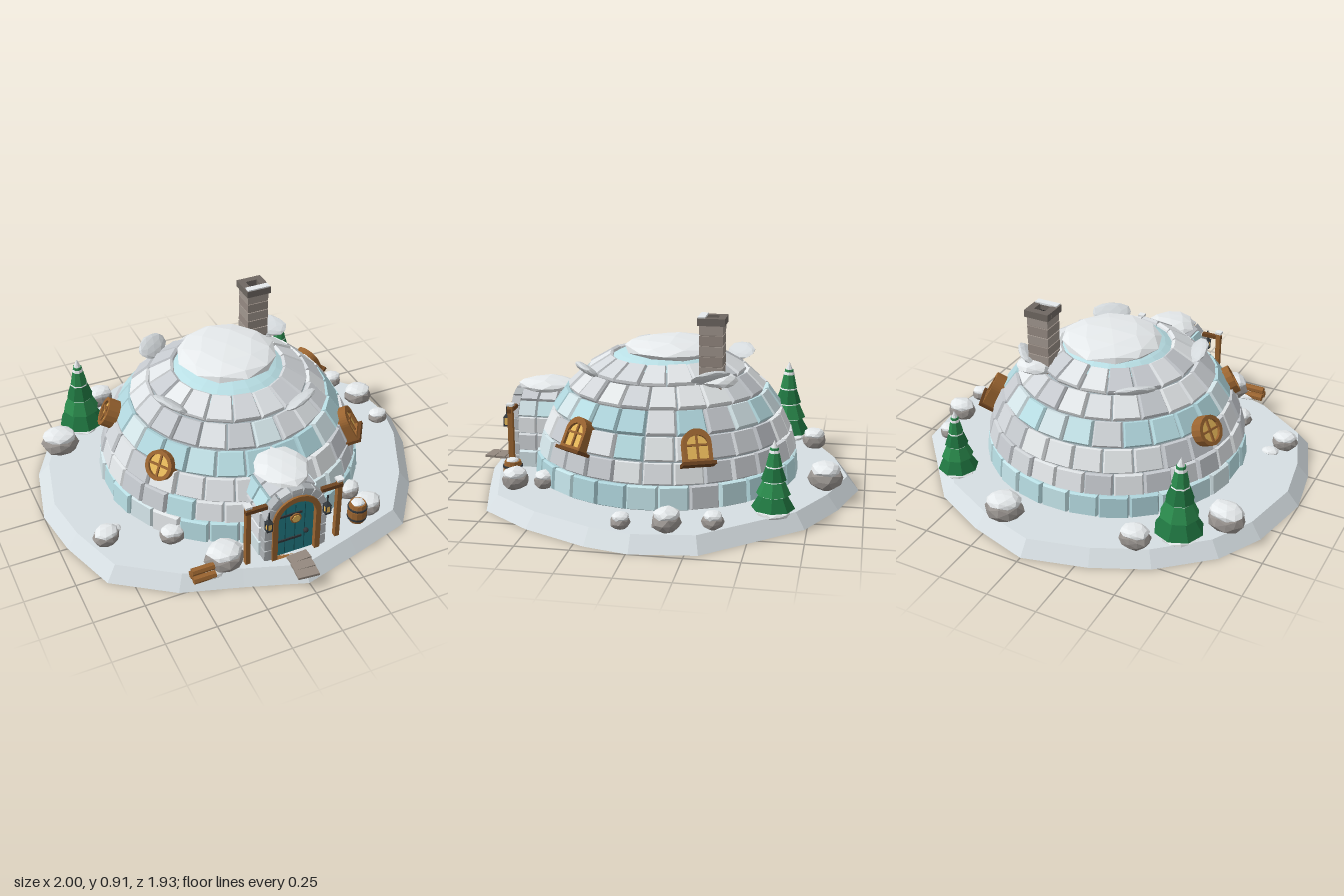
import * as THREE from 'three';

const WOOD = 0x9a6430, DARKWOOD = 0x6e4420, SNOW = 0xe6eaec, ICE = 0xb9dfe5, STEEL = 0x33383c;
const WHITES = [0xdfe3e6, 0xd2d6da, 0xc6cacf, 0xe4e8ea];
const ICES = [0xb9dfe5, 0xc4e4e9, 0xb0d6dd, 0xd3e4e8];
const GROUND = 0.07;

let seed = 7;
const rnd = () => (seed = (seed * 16807) % 2147483647) / 2147483647;
const pick = (list) => list[Math.floor(rnd() * list.length)];

const materials = {};
const mat = (color) => (materials[color] ??= new THREE.MeshStandardMaterial({ color, flatShading: true }));

function add(parent, name, geo, color, x = 0, y = 0, z = 0) {
  const m = new THREE.Mesh(geo, mat(color));
  m.name = name;
  m.position.set(x, y, z);
  parent.add(m);
  return m;
}
function group(parent, name, x = 0, y = 0, z = 0) {
  const g = new THREE.Group();
  g.name = name;
  g.position.set(x, y, z);
  parent.add(g);
  return g;
}
const box = (w, h, d) => new THREE.BoxGeometry(w, h, d);
const cyl = (rt, rb, h, n = 8) => new THREE.CylinderGeometry(rt, rb, h, n);

// Bends a geometry by a rule on each vertex
function warp(geo, fn) {
  const p = geo.attributes.position, v = new THREE.Vector3();
  for (let i = 0; i < p.count; i++) {
    fn(v.fromBufferAttribute(p, i));
    p.setXYZ(i, v.x, v.y, v.z);
  }
  geo.computeVertexNormals();
  return geo;
}

// Bevelled brick: u, v in -0.5..0.5 across the face, w is depth
function brick(bevel, place) {
  return warp(new THREE.BoxGeometry(1, 1, 1, 1, 1, 2), (p) => {
    const k = p.z > 0.4 ? 1 - bevel : 1;
    place(p, p.x * k, p.y * k, p.z);
  });
}

// Lumpy flattened ball
function lump(rx, ry, rz, rough = 0.12) {
  const s = rnd() * 10;
  return warp(new THREE.IcosahedronGeometry(1, 1), (p) => {
    const n = Math.sin(p.x * 5.1 + s) * Math.cos(p.y * 4.3 - s) + Math.sin(p.z * 6.7 + s * 2);
    p.multiplyScalar(1 + rough * 0.5 * n);
    p.set(p.x * rx, p.y * ry, p.z * rz);
  });
}

// Door-like outline: straight sides of height h below a half circle of radius r
function arch(r, h, Type = THREE.Shape) {
  const s = new Type();
  s.moveTo(-r, 0);
  s.lineTo(r, 0);
  s.lineTo(r, h);
  s.absarc(0, h, r, 0, Math.PI, false);
  s.lineTo(-r, 0);
  return s;
}
const extrude = (shape, depth) => new THREE.ExtrudeGeometry(shape, { depth, bevelEnabled: false, curveSegments: 8 });
function ring(outer, hole, depth) {
  outer.holes.push(hole);
  return extrude(outer, depth);
}

function buildBase(root) {
  const rim = [[0, .93], [.3, .85], [.61, .76], [.8, .51], [.95, .2], [1, -.01], [.96, -.31], [.58, -.74], [.3, -.88], [0, -.97],
    [-.31, -.89], [-.57, -.77], [-.81, -.56], [-.93, -.34], [-1, -.01], [-.96, .25], [-.86, .545], [-.58, .74], [-.29, .83]];
  const n = rim.length;
  const geo = warp(new THREE.CylinderGeometry(1, 1, GROUND, n), (p) => {
    if (Math.hypot(p.x, p.z) < 0.1) return;
    const i = (Math.round(Math.atan2(p.x, p.z) / (2 * Math.PI) * n) + n) % n;
    const k = p.y > 0 ? 0.94 : 1;
    p.x = rim[i][0] * k;
    p.z = rim[i][1] * k;
  });
  add(root, 'snowGround', geo, 0xd6dee2, 0, GROUND / 2, 0);
}

function buildDome(root) {
  const g = group(root, 'dome', 0, GROUND, 0), R = 0.665;
  add(g, 'domeCore', new THREE.SphereGeometry(0.637, 32, 12, 0, Math.PI * 2, 0, Math.PI / 2), 0x9fadb3);
  const levels = [0, 0.12, 0.225, 0.335, 0.44, 0.53, 0.605];
  [28, 28, 26, 24, 22, 18].forEach((n, row) => {
    const a = Math.asin(levels[row] / R), b = Math.asin(levels[row + 1] / R);
    for (let i = 0; i < n; i++) {
      const out = rnd() * 0.012 - 0.006, width = 0.93 + rnd() * 0.05;
      const geo = brick(0.12, (p, u, v, w) => {
        const th = (i + (row % 2) / 2 + u * width) / n * Math.PI * 2;
        const lat = (a + b) / 2 + v * (b - a) * 0.95;
        const r = R + out - (w < -0.4 ? 0.05 : w < 0.4 ? 0.012 : 0);
        p.set(r * Math.cos(lat) * Math.sin(th), r * Math.sin(lat), r * Math.cos(lat) * Math.cos(th));
      });
      const icy = (row === 0 || row === 3) ? rnd() < 0.88 : rnd() < 0.04;
      add(g, 'snowBlock', geo, pick(icy ? ICES : WHITES));
    }
  });
  add(g, 'iceCap', new THREE.SphereGeometry(0.655, 20, 4, 0, Math.PI * 2, 0, 0.5), ICE, 0, -0.01, 0);
  add(g, 'snowCap', lump(0.25, 0.05, 0.25, 0.04), SNOW, 0.01, 0.63, -0.04);
  // Snow drifts caught on the wall
  for (const [x, y, z] of [[-.37, .63, .16], [.22, .615, .36], [-.27, .63, -.34], [.35, .635, -.27]]) {
    const d = add(g, 'snowDrift', lump(0.105, 0.02, 0.06, 0.06), 0xd3d8db, x, y - GROUND, z);
    d.rotation.set(-0.6, Math.atan2(x, z), 0, 'YXZ');
  }
}

function buildEntrance(root) {
  const g = group(root, 'entrance', -0.005, GROUND, 0), H = 0.23;
  add(g, 'tunnelCore', extrude(arch(0.145, H), 0.33), 0x9fadb3, 0, 0, 0.43);
  // Bricks follow the arch from the left foot over to the right foot
  function course(n, r, thick, z0, z1, colors) {
    const half = Math.PI * r / 2, total = 2 * (H + half);
    for (let i = 0; i < n; i++) {
      const geo = brick(0.1, (p, u, v, w) => {
        const s = (i + 0.5 + u * 0.95) / n * total, d = r - (0.5 - w) * thick;
        const z = (z0 + z1) / 2 + v * (z1 - z0) * 0.96;
        if (s < H) p.set(d, s, z);
        else if (s > total - H) p.set(-d, total - s, z);
        else p.set(d * Math.cos((s - H) / r), H + d * Math.sin((s - H) / r), z);
      });
      add(g, 'tunnelBlock', geo, pick(colors(i, n)));
    }
  }
  const tint = (i, n) => (Math.min(i, n - 1 - i) % 3 === 0 ? ICES : WHITES);
  for (let c = 0; c < 3; c++) course(11, 0.168, 0.035, 0.45 + c * 0.097, 0.547 + c * 0.097, tint);
  course(15, 0.16, 0.04, 0.735, 0.785, () => [0xb9bdc0, 0xc6cacd, 0xaeb3b6]);
  add(g, 'roofSnow', lump(0.13, 0.035, 0.15, 0.07), SNOW, 0, 0.405, 0.62);
  // Door with frame, planks, hinges, porthole and knob
  add(g, 'doorFrame', ring(arch(0.124, H), arch(0.097, H - 0.002, THREE.Path), 0.05), WOOD, 0, 0, 0.745);
  add(g, 'door', extrude(arch(0.1, H), 0.03), 0x23808a, 0, 0, 0.74);
  for (const x of [-0.05, 0, 0.05]) add(g, 'plankSeam', box(0.004, 0.28, 0.004), 0x14565e, x, 0.15, 0.771);
  for (const y of [0.09, 0.24]) add(g, 'hinge', box(0.13, 0.012, 0.006), STEEL, -0.03, y, 0.773);
  add(g, 'porthole', cyl(0.028, 0.028, 0.016, 12), WOOD, 0, 0.215, 0.775).rotation.x = Math.PI / 2;
  add(g, 'portholeGlass', cyl(0.02, 0.02, 0.02, 12), 0xe8b95a, 0, 0.215, 0.776).rotation.x = Math.PI / 2;
  add(g, 'doorKnob', new THREE.IcosahedronGeometry(0.013, 1), STEEL, 0.055, 0.12, 0.78);
  // Posts, beams and hanging lanterns
  for (const s of [-1, 1]) {
    add(g, 'post', box(0.024, 0.345, 0.026), WOOD, s * 0.235, 0.172, 0.752);
    add(g, 'beam', box(0.11, 0.02, 0.022), DARKWOOD, s * 0.195, 0.318, 0.755);
    add(g, 'postSnow', box(0.034, 0.012, 0.034), SNOW, s * 0.235, 0.349, 0.752);
    const l = group(g, 'lantern', s * 0.15, 0.24, 0.8);
    add(l, 'lanternHook', box(0.006, 0.045, 0.006), STEEL, 0, 0.055, 0);
    add(l, 'lanternGlass', box(0.022, 0.042, 0.022), 0xf0bf5c);
    add(l, 'lanternRoof', cyl(0.004, 0.024, 0.018, 4), STEEL, 0, 0.028, 0).rotation.y = Math.PI / 4;
    add(l, 'lanternFoot', box(0.03, 0.008, 0.03), STEEL, 0, -0.024, 0);
    for (const a of [-1, 1]) for (const b of [-1, 1]) add(l, 'lanternBar', box(0.005, 0.044, 0.005), STEEL, a * 0.012, 0, b * 0.012);
  }
  for (let i = 0; i < 3; i++) {
    add(g, 'doorstepPlank', box(0.105, 0.012, 0.052), 0x94897f, -0.006 * i, 0.006, 0.825 + i * 0.054).rotation.y = [0.04, -0.05, -0.1][i];
  }
}

function buildWindow(root, round, x, y, z) {
  const g = group(root, round ? 'roundWindow' : 'archedWindow', x, y, z);
  g.rotation.set(-0.5, Math.atan2(x, z), 0, 'YXZ');
  if (round) {
    const disc = (r, Type = THREE.Shape) => new Type().absarc(0, 0, r, 0, Math.PI * 2, false);
    add(g, 'windowFrame', ring(disc(0.074), disc(0.055, THREE.Path), 0.06), WOOD, 0, 0, -0.035);
    add(g, 'windowGlass', extrude(disc(0.057), 0.045), 0xe8b95a, 0, 0, -0.035);
  } else {
    add(g, 'windowFrame', ring(arch(0.066, 0.09), arch(0.05, 0.076, THREE.Path).closePath(), 0.06), WOOD, 0, -0.08, -0.035);
    add(g, 'windowGlass', extrude(arch(0.052, 0.085), 0.045), 0xe8b95a, 0, -0.08, -0.035);
    add(g, 'windowBase', box(0.12, 0.016, 0.06), WOOD, 0, -0.073, -0.004);
    add(g, 'windowSill', box(0.155, 0.016, 0.08), DARKWOOD, 0, -0.086, 0);
  }
  add(g, 'windowBarUpright', box(0.01, round ? 0.115 : 0.135, 0.012), WOOD, 0, round ? 0 : -0.005, 0.014);
  add(g, 'windowBarCross', box(0.11, 0.01, 0.012), WOOD, 0, 0, 0.014);
}

function buildChimney(root) {
  const g = group(root, 'chimney', 0.262, 0, -0.265);
  add(g, 'chimneyStack', box(0.1, 0.32, 0.1), 0x8b8078, 0, 0.71, 0);
  for (let i = 0; i < 5; i++) add(g, 'stoneCourse', box(0.112, 0.045, 0.112), i % 2 ? 0x958a82 : 0xa0968e, 0, 0.65 + i * 0.05, 0);
  for (const s of [-1, 1]) {
    add(g, 'chimneyRim', box(0.13, 0.035, 0.035), 0x6f6862, 0, 0.89, s * 0.048);
    add(g, 'chimneyRim', box(0.035, 0.035, 0.065), 0x6f6862, s * 0.048, 0.89, 0);
  }
  add(g, 'flue', box(0.065, 0.004, 0.065), 0x202020, 0, 0.874, 0);
  add(g, 'rimSnow', box(0.12, 0.01, 0.035), SNOW, 0, 0.909, 0.046);
  add(g, 'baseSnow', lump(0.09, 0.035, 0.09), SNOW, 0.03, 0.61, -0.04);
}

function buildTree(root, x, z, r, top) {
  const g = group(root, 'pineTree', x, GROUND, z), h = top - GROUND;
  add(g, 'trunk', cyl(0.02, 0.025, 0.12, 6), DARKWOOD, 0, 0.05, 0);
  add(g, 'treeSnowBase', lump(r * 0.75, 0.022, r * 0.75), SNOW, 0, 0.005, 0);
  for (let i = 0; i < 4; i++) {
    const rb = r * (1 - i * 0.21), y = h * (0.09 + i * 0.19), th = h * 0.24;
    const color = i % 2 ? 0x2a8a4c : 0x1f7540;
    add(g, 'branchTier', cyl(rb * 0.5, rb, th, 8), color, 0, y + th / 2, 0);
    add(g, 'tierSnow', cyl(rb * 0.57, rb * 0.66, th * 0.12, 8), SNOW, 0, y + th * 0.78, 0);
  }
  add(g, 'snowTip', new THREE.ConeGeometry(r * 0.24, h * 0.15, 8), SNOW, 0, h * 0.925, 0);
}

function buildRock(root, x, z, r) {
  const g = group(root, 'snowyRock', x, GROUND, z);
  g.rotation.y = rnd() * 0.6 - 0.3;
  add(g, 'stone', lump(r * 0.95, r * 0.62, r * 0.82, 0.1), 0x96918d, 0, r * 0.48, 0);
  add(g, 'stoneSnow', lump(r * 0.86, r * 0.34, r * 0.72, 0.1), SNOW, 0, r * 0.92, 0);
}

function buildBarrel(root) {
  const g = group(root, 'barrel', 0.375, GROUND, 0.7);
  const profile = [[0, 0], [.038, 0], [.048, .035], [.048, .07], [.04, .108], [0, .108]].map(([a, b]) => new THREE.Vector2(a, b));
  add(g, 'barrelBody', new THREE.LatheGeometry(profile, 12), WOOD);
  for (const y of [0.025, 0.083]) add(g, 'barrelHoop', cyl(0.049, 0.049, 0.01, 12), STEEL, 0, y, 0);
  add(g, 'barrelSnow', lump(0.033, 0.012, 0.033), SNOW, 0, 0.11, 0);
}

export function createModel() {
  seed = 7;
  const root = new THREE.Group();
  root.name = 'iceHouse';
  buildBase(root);
  buildDome(root);
  buildEntrance(root);
  buildWindow(root, true, -0.485, 0.41, 0.31);
  buildWindow(root, true, -0.575, 0.41, -0.18);
  buildWindow(root, false, 0.505, 0.375, 0.33);
  buildWindow(root, false, 0.575, 0.37, -0.24);
  buildChimney(root);
  buildTree(root, -0.61, -0.565, 0.12, 0.5);
  buildTree(root, 0.585, -0.595, 0.1, 0.42);
  const rocks = [[-.46, -.72, .08], [.18, -.81, .1], [-.78, -.41, .1], [.8, -.35, .06], [.86, -.155, .08], [.87, .05, .055],
    [-.79, .35, .07], [-.5, .465, .065], [-.34, .72, .1], [.42, .525, .065], [.45, .665, .078]];
  rocks.forEach((r) => buildRock(root, ...r));
  add(root, 'snowPile', lump(0.045, 0.015, 0.035), SNOW, -0.74, GROUND + 0.005, 0.28);
  add(root, 'snowPile', lump(0.06, 0.02, 0.05), SNOW, -0.42, GROUND + 0.01, 0.745);
  buildBarrel(root);
  // Firewood stack
  for (const [y, z] of [[0.018, -0.02], [0.018, 0.02], [0.052, 0]]) {
    add(root, 'firewoodLog', cyl(0.019, 0.019, 0.11, 7), WOOD, -0.465, GROUND + y, 0.755 + z).rotation.z = Math.PI / 2;
  }
  return root;
}
